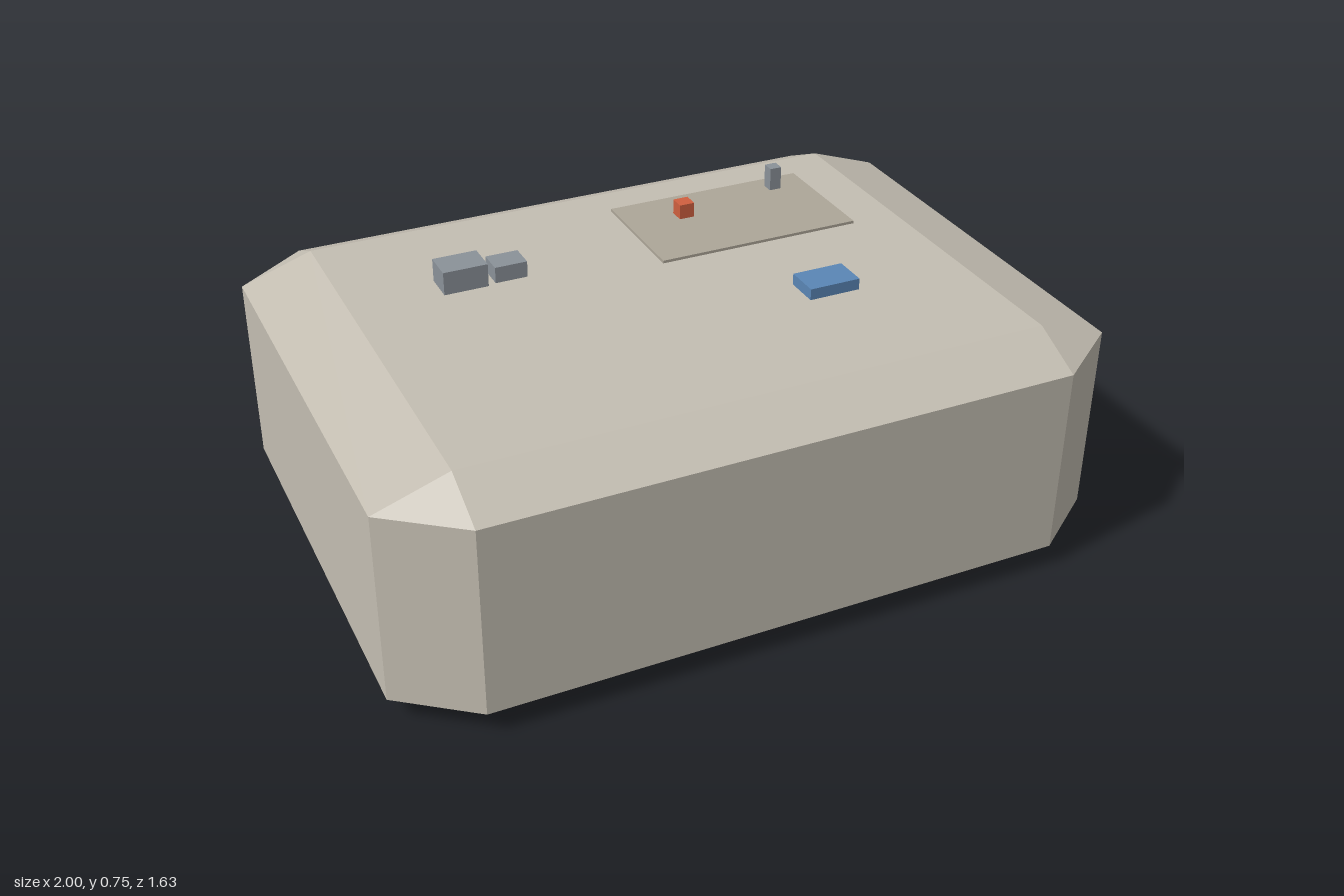
import * as THREE from 'three';
import { ConvexGeometry } from 'three/addons/geometries/ConvexGeometry.js';

const material = (color) => new THREE.MeshStandardMaterial({ color, flatShading: true });

// Box with every edge and corner cut; w/h/d are sizes, cx/cy/cz the cut per axis
function chamferedBox(w, h, d, cx, cy, cz) {
  const points = [];
  for (const sx of [-1, 1]) for (const sy of [-1, 1]) for (const sz of [-1, 1]) {
    const [x, y, z] = [w / 2, h / 2, d / 2];
    points.push(
      new THREE.Vector3(sx * x, sy * (y - cy), sz * (z - cz)),
      new THREE.Vector3(sx * (x - cx), sy * y, sz * (z - cz)),
      new THREE.Vector3(sx * (x - cx), sy * (y - cy), sz * z),
    );
  }
  return new ConvexGeometry(points);
}

export function createModel() {
  const model = new THREE.Group();
  model.name = 'chamferedBlockWithFittings';

  const stone = material(0xc4beb2);
  const slab = material(0xada698);
  const grey = material(0x8b9299);
  const red = material(0xd0603f);
  const blue = material(0x5a86b5);

  // Places a geometry with its underside at y
  function add(name, geometry, mat, x, y, z, h) {
    const mesh = new THREE.Mesh(geometry, mat);
    mesh.name = name;
    mesh.position.set(x, y + h / 2, z);
    model.add(mesh);
  }
  const addBox = (name, mat, x, y, z, w, h, d) =>
    add(name, new THREE.BoxGeometry(w, h, d), mat, x, y, z, h);

  // Main body
  const top = 0.67;
  add('body', chamferedBox(2, top, 1.495, 0.2, 0.068, 0.149), stone, 0, 0, 0.0635, top);

  // Row of blocks along the back
  for (let i = 0; i < 4; i++) {
    add(`rearBlock${i + 1}`, chamferedBox(0.165, 0.18, 0.115, 0.008, 0.008, 0.008),
      grey, -0.605 + i * 0.4, 0, -0.759, 0.18);
  }

  // Raised pad and the pieces standing on it
  addBox('pad', slab, 0.36, top, -0.238, 0.6, 0.008, 0.36);
  addBox('redCube', red, 0.235, top + 0.006, -0.296, 0.045, 0.045, 0.045);
  addBox('post', grey, 0.556, top + 0.006, -0.357, 0.035, 0.07, 0.036);

  // Boxes on the roof
  addBox('largeRoofUnit', grey, -0.483, top, -0.178, 0.125, 0.066, 0.09);
  addBox('smallRoofUnit', grey, -0.352, top, -0.178, 0.092, 0.046, 0.074);
  addBox('blueBox', blue, 0.398, top, 0.246, 0.147, 0.032, 0.098);

  return model;
}
